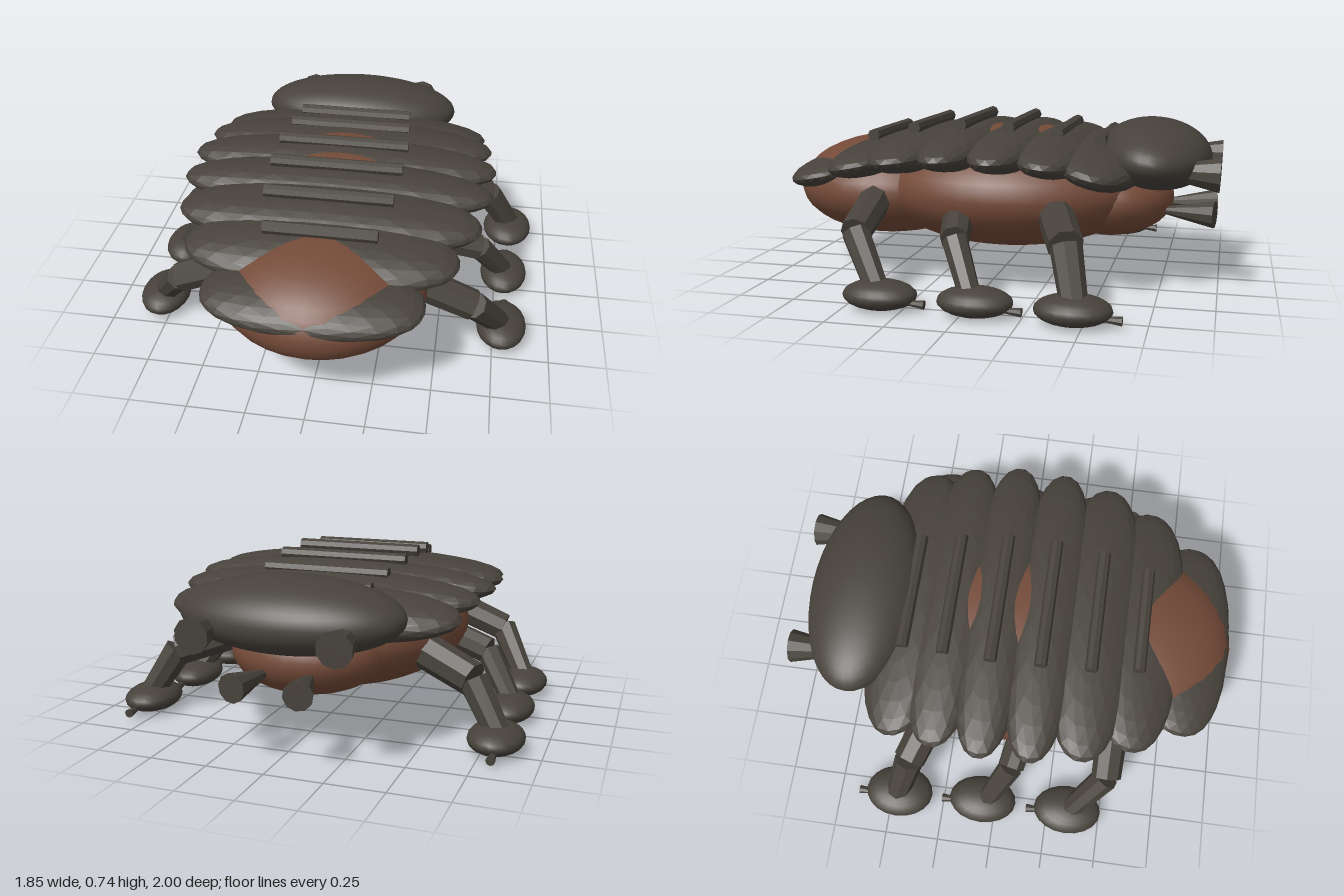
import * as THREE from 'three';

const shell = new THREE.MeshStandardMaterial({ color: 0x47423b });
shell.name = 'dark shell';
const flesh = new THREE.MeshStandardMaterial({ color: 0x744a38 });
flesh.name = 'brown underside';

const V = (x, y, z) => new THREE.Vector3(x, y, z);

function faceted(geometry) {
  const g = geometry.index ? geometry.toNonIndexed() : geometry;
  g.computeVertexNormals();
  return g;
}

function add(parent, name, geometry, material) {
  const mesh = new THREE.Mesh(geometry, material);
  mesh.name = name;
  parent.add(mesh);
  return mesh;
}

// Smooth ellipsoid given by centre and radii
function ellipsoid(parent, name, material, centre, radii, segments = 28, tilt = 0) {
  const g = new THREE.SphereGeometry(1, segments, Math.round(segments * 0.6));
  g.scale(...radii).rotateX(tilt).translate(...centre);
  return add(parent, name, g, material);
}

// Faceted round bar between two points
function rod(parent, name, a, b, ra, rb, sides = 8) {
  const dir = b.clone().sub(a);
  const g = new THREE.CylinderGeometry(rb, ra, dir.length(), sides);
  const mesh = add(parent, name, faceted(g), shell);
  mesh.position.copy(a).add(b).multiplyScalar(0.5);
  mesh.quaternion.setFromUnitVectors(V(0, 1, 0), dir.normalize());
  return mesh;
}

// Faceted back plate, a flat ellipsoid with a slightly squared outline
function plateGeometry(rx, ry, rz) {
  const g = new THREE.IcosahedronGeometry(1, 4);
  const p = g.attributes.position;
  const n = 2.35;
  for (let i = 0; i < p.count; i++) {
    const x = p.getX(i), y = p.getY(i), z = p.getZ(i);
    const r = Math.hypot(x, z);
    const k = r > 1e-6 ? r / Math.pow(Math.abs(x) ** n + Math.abs(z) ** n, 1 / n) : 1;
    p.setXYZ(i, x * k * rx, y * ry, z * k * rz);
  }
  return faceted(g);
}

export function createModel() {
  const model = new THREE.Group();
  model.name = 'armoredCrawler';

  // Soft body
  ellipsoid(model, 'midBody', flesh, [0, 0.418, -0.04], [0.57, 0.276, 0.64], 36);
  ellipsoid(model, 'abdomen', flesh, [0, 0.4, 0.55], [0.455, 0.235, 0.45], 32);
  ellipsoid(model, 'thorax', flesh, [0, 0.38, -0.5], [0.34, 0.18, 0.29]);

  // Overlapping back plates: z, y, half width, half height, half depth, tilt
  const plates = [
    [0.79, 0.475, 0.46, 0.08, 0.2, 0.18],
    [0.57, 0.545, 0.58, 0.09, 0.2, 0.18],
    [0.36, 0.585, 0.66, 0.095, 0.19, 0.1],
    [0.14, 0.605, 0.7, 0.098, 0.165, 0.03],
    [-0.08, 0.605, 0.71, 0.098, 0.165, 0],
    [-0.29, 0.59, 0.685, 0.096, 0.175, -0.1],
    [-0.48, 0.55, 0.65, 0.1, 0.2, -0.25],
  ];
  plates.forEach(([z, y, rx, ry, rz, tilt], i) => {
    const plate = add(model, 'backPlate' + (i + 1), plateGeometry(rx, ry, rz), shell);
    plate.position.set(0, y, z);
    plate.rotation.x = tilt;
  });

  // Ridge bars across the plates: z, y, half width
  const ridges = [
    [0.57, 0.65, 0.24], [0.36, 0.695, 0.28], [0.14, 0.717, 0.295],
    [-0.08, 0.71, 0.3], [-0.295, 0.685, 0.285], [-0.48, 0.655, 0.27],
  ];
  for (const [z, y, w] of ridges) {
    rod(model, 'ridgeBar', V(-w, y, z), V(w, y, z), 0.029, 0.029);
  }

  // Head shield
  ellipsoid(model, 'head', shell, [0, 0.583, -0.705], [0.485, 0.152, 0.25], 40, -0.12);

  // Legs: hip, knee, ankle, foot centre, foot half width and limb thickness
  const legs = [
    ['front', V(0.4, 0.39, -0.3), V(0.69, 0.29, -0.41), V(0.81, 0.09, -0.465), V(0.805, 0.068, -0.46), 0.12, 0.075],
    ['middle', V(0.42, 0.36, 0.11), V(0.66, 0.285, 0.06), V(0.79, 0.09, -0.04), V(0.79, 0.068, -0.06), 0.11, 0.062],
    ['rear', V(0.4, 0.39, 0.5), V(0.65, 0.29, 0.5), V(0.78, 0.09, 0.36), V(0.785, 0.068, 0.345), 0.112, 0.068],
  ];
  for (const side of [1, -1]) {
    const m = (v) => V(v.x * side, v.y, v.z);
    const label = side > 0 ? 'Left' : 'Right';
    for (const [name, hip, knee, ankle, foot, width, r] of legs) {
      const leg = new THREE.Group();
      leg.name = name + label + 'Leg';
      model.add(leg);
      rod(leg, 'thigh', m(hip), m(knee), r * 1.08, r);
      rod(leg, 'shin', m(knee), m(ankle), r * 0.9, r * 0.75);
      ellipsoid(leg, 'foot', shell, m(foot).toArray(), [width, 0.062, 0.158], 20);
      rod(leg, 'claw', m(V(foot.x + 0.015, 0.045, foot.z - 0.1)),
        m(V(foot.x + 0.015, 0.04, foot.z - 0.195)), 0.008, 0.02);
    }

    // Flared feelers and mouth cones
    rod(model, 'feeler' + label, m(V(0.29, 0.54, -0.8)), m(V(0.295, 0.533, -0.995)), 0.035, 0.075, 10);
    rod(model, 'mandible' + label, m(V(0.09, 0.335, -0.7)), m(V(0.14, 0.333, -0.975)), 0.006, 0.062, 10);
  }

  return model;
}
